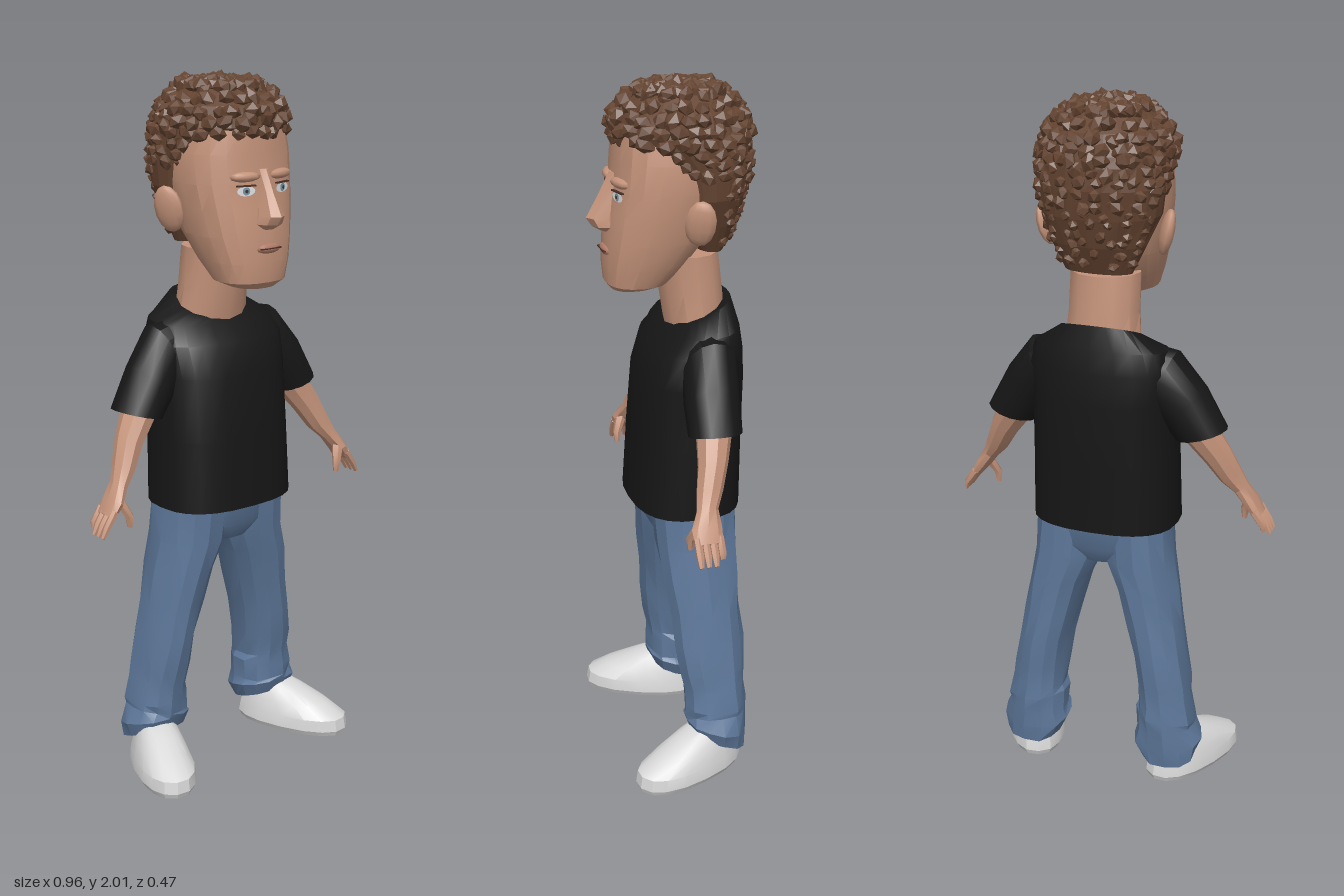
import * as THREE from 'three';
import { mergeGeometries, toCreasedNormals } from 'three/addons/utils/BufferGeometryUtils.js';

const material = (name, color) => {
  const m = new THREE.MeshStandardMaterial({ color });
  m.name = name;
  return m;
};

// Small seeded generator for cloth folds and hair curls
function seeded(seed) {
  return () => {
    seed = (seed * 16807) % 2147483647;
    return seed / 2147483647;
  };
}

// Skin over rings listed upwards: [x, y, z, rx, rz, tilt about z, forward rise]
function loft(rings, { n = 14, p = 2, crease = 0.6, fold = 0, side = 1 } = {}) {
  const rand = seeded(77);
  const power = (v) => Math.sign(v) * Math.abs(v) ** (2 / p);
  const points = rings.map(([x, y, z, rx, rz, tilt = 0, rise = 0]) =>
    Array.from({ length: n }, (_, j) => {
      const a = (j / n) * Math.PI * 2;
      const k = 1 + (rand() - 0.5) * fold;
      const u = power(Math.cos(a)) * rx * k;
      const v = power(Math.sin(a)) * rz * k;
      return [side * (x + u * Math.cos(tilt)), y + u * Math.sin(tilt) + v * rise, z + v];
    }));
  const out = [];
  const tri = (a, b, c) => (side > 0 ? out.push(...a, ...b, ...c) : out.push(...a, ...c, ...b));
  const centre = (r) => [side * r[0], r[1], r[2]];
  const last = rings.length - 1;
  for (let j = 0; j < n; j++) {
    const k = (j + 1) % n;
    for (let i = 0; i < last; i++) {
      const [a, b] = [points[i], points[i + 1]];
      tri(a[j], b[j], a[k]);
      tri(a[k], b[j], b[k]);
    }
    tri(centre(rings[0]), points[0][j], points[0][k]);
    tri(centre(rings[last]), points[last][k], points[last][j]);
  }
  const g = new THREE.BufferGeometry();
  g.setAttribute('position', new THREE.Float32BufferAttribute(out, 3));
  return toCreasedNormals(g, crease);
}

export function createModel() {
  const model = new THREE.Group();
  model.name = 'standingMan';
  const skin = material('skin', 0xc4937a);
  const hairBrown = material('hair brown', 0x644431);
  const black = material('shirt black', 0x161616);
  const denim = material('denim', 0x5d7799);
  const shoeGrey = material('shoe grey', 0xd8d8d8);
  const eyeWhite = material('eye white', 0xe4e8ea);
  const eyeBlue = material('eye blue', 0x7698ac);
  const lipTone = material('lip', 0xb27c69);
  const lineTone = material('dark line', 0x4a3028);

  const add = (name, geometry, mat, parent = model) => {
    const m = new THREE.Mesh(geometry, mat);
    m.name = name;
    parent.add(m);
    return m;
  };

  // Shirt body
  add('shirt', loft([
    [0, 0.797, -0.03, 0.212, 0.155], [0, 1.0, -0.038, 0.208, 0.15],
    [0, 1.18, -0.048, 0.205, 0.145], [0, 1.27, -0.06, 0.212, 0.127],
    [0, 1.325, -0.078, 0.19, 0.1, 0, -0.1], [0, 1.368, -0.08, 0.112, 0.085, 0, -0.4],
  ], { n: 24, p: 2.6 }), black);

  // Pelvis joining the legs
  add('pelvis', loft([
    [0, 0.68, -0.04, 0.08, 0.085], [0, 0.73, -0.04, 0.17, 0.115], [0, 0.82, -0.04, 0.198, 0.124],
  ], { n: 18, p: 2.5 }), denim);

  // Neck and head
  add('neck', loft([
    [0, 1.32, -0.07, 0.112, 0.085], [0, 1.42, -0.058, 0.102, 0.09], [0, 1.53, -0.045, 0.1, 0.09],
  ], { n: 12 }), skin);
  const head = new THREE.Group();
  head.name = 'head';
  model.add(head);
  add('face', loft([
    [0, 1.437, 0.11, 0.06, 0.06], [0, 1.455, 0.1, 0.1, 0.085], [0, 1.51, 0.075, 0.121, 0.115],
    [0, 1.58, 0.045, 0.142, 0.14], [0, 1.65, 0.025, 0.155, 0.153], [0, 1.72, 0.015, 0.165, 0.149],
    [0, 1.8, 0, 0.165, 0.16], [0, 1.88, -0.01, 0.15, 0.162], [0, 1.94, -0.02, 0.1, 0.1],
  ], { n: 20, p: 2.4, crease: 0.35 }), skin, head);
  add('nose', loft([
    [0, 1.6, 0.17, 0.02, 0.025], [0, 1.615, 0.175, 0.038, 0.045], [0, 1.638, 0.18, 0.034, 0.055],
    [0, 1.7, 0.16, 0.021, 0.04], [0, 1.76, 0.145, 0.024, 0.025],
  ], { n: 8, crease: 0.3 }), skin, head);

  // Mouth
  const lips = add('lips', new THREE.SphereGeometry(1, 10, 6), lipTone, head);
  lips.scale.set(0.042, 0.014, 0.012);
  lips.position.set(0, 1.548, 0.184);
  const mouth = add('mouthLine', new THREE.BoxGeometry(0.07, 0.003, 0.008), lineTone, head);
  mouth.position.set(0, 1.549, 0.193);

  // Hair base, deep at the back and inside the face at the front
  const cap = [
    [0, 1.54, -0.1, 0.095, 0.04], [0, 1.62, -0.1, 0.135, 0.078], [0, 1.7, -0.08, 0.167, 0.122],
    [0, 1.78, -0.075, 0.177, 0.14], [0, 1.84, -0.042, 0.178, 0.172], [0, 1.87, -0.025, 0.173, 0.183],
    [0, 1.925, -0.022, 0.155, 0.165], [0, 1.968, -0.022, 0.095, 0.105],
  ];
  add('hairBase', loft(cap, { n: 24, p: 2.15, fold: 0.03, crease: 0 }), hairBrown, head);

  // Curls scattered in rows over the hair base
  const rand = seeded(4321);
  const curls = [];
  const curl = (x, y, z, r) => {
    const g = new THREE.IcosahedronGeometry(r, 0);
    g.scale(1 + rand() * 0.3, 0.65 + rand() * 0.3, 0.9);
    g.rotateX(rand() * 6).rotateY(rand() * 6).rotateZ(rand() * 6);
    curls.push(g.translate(x, y, z));
  };
  for (let y = 1.575; y < 1.968; y += 0.028) {
    const i = cap.findIndex((r) => r[1] > y);
    const t = (y - cap[i - 1][1]) / (cap[i][1] - cap[i - 1][1]);
    const [, , z, rx, rz] = cap[i].map((v, k) => THREE.MathUtils.lerp(cap[i - 1][k], v, t));
    const full = y > 1.845;
    const count = Math.round((rx + rz) * (full ? 75 : 65));
    for (let j = 0; j < count; j++) {
      const a = ((j + rand() * 0.6) / count) * Math.PI * 2;
      if (!full && Math.sin(a) > (y > 1.76 ? 0.6 : -0.25)) continue;
      const r = full ? 0.027 : y > 1.74 ? 0.024 : 0.018;
      const k = full ? 1 : 0.97;
      curl(Math.cos(a) * rx * k, y + (rand() - 0.5) * 0.015, z + Math.sin(a) * rz * k, r);
    }
  }
  for (let j = 0; j < 34; j++) {
    const a = j * 2.4;
    const r = 0.1 * Math.sqrt(j / 34);
    curl(Math.cos(a) * r, 1.977 - r * 0.08, -0.022 + Math.sin(a) * r * 1.1, 0.027);
  }
  add('hairCurls', mergeGeometries(curls), hairBrown, head);

  for (const side of [1, -1]) {
    const word = side > 0 ? 'left' : 'right';

    // Eye, brow ridge and ear
    const eye = new THREE.Group();
    eye.name = word + 'Eye';
    eye.position.set(side * 0.063, 1.705, 0.163);
    eye.rotation.y = side * 0.25;
    head.add(eye);
    add('eyeWhite', new THREE.CircleGeometry(0.027, 14).scale(1, 0.5, 1), eyeWhite, eye);
    add('iris', new THREE.CircleGeometry(0.011, 12).translate(0, 0, 0.002), eyeBlue, eye);
    add('pupil', new THREE.CircleGeometry(0.005, 8).translate(0, 0, 0.004), lineTone, eye);
    const lid = add('upperLid', new THREE.BoxGeometry(0.056, 0.004, 0.008), lineTone, eye);
    lid.position.y = 0.014;
    const brow = add(word + 'Brow', new THREE.SphereGeometry(1, 8, 6), skin, head);
    brow.scale.set(0.046, 0.014, 0.015);
    brow.position.set(side * 0.062, 1.742, 0.157);
    brow.rotation.y = side * 0.25;
    const ear = add(word + 'Ear', new THREE.SphereGeometry(1, 10, 7), skin, head);
    ear.scale.set(0.02, 0.066, 0.044);
    ear.position.set(side * 0.17, 1.645, -0.035);
    ear.rotation.set(-0.15, side * -0.4, side * -0.25);

    // Sleeve
    add(word + 'Sleeve', loft([
      [0.283, 1.086, -0.045, 0.075, 0.074, 0.27], [0.235, 1.165, -0.05, 0.08, 0.078, 0.75],
      [0.18, 1.235, -0.062, 0.093, 0.08, 1.2], [0.12, 1.25, -0.07, 0.09, 0.075, 1.5],
    ], { side, n: 14 }), black);

    // Arm, fingers and thumb
    const arm = new THREE.Group();
    arm.name = word + 'Arm';
    model.add(arm);
    add('forearm', loft([
      [0.44, 0.838, 0.02, 0.013, 0.04, 0.64], [0.415, 0.875, 0.02, 0.02, 0.043, 0.64],
      [0.387, 0.915, 0.01, 0.023, 0.031, 0.64], [0.36, 0.955, -0.005, 0.034, 0.038, 0.64],
      [0.325, 1.02, -0.025, 0.042, 0.043, 0.6], [0.27, 1.1, -0.045, 0.052, 0.052, 0.5],
    ], { side, n: 9, crease: 0.4 }), skin, arm);
    for (let i = 0; i < 4; i++) {
      const z = -0.012 + i * 0.021;
      const drop = i === 0 ? 0.012 : 0;
      add('finger', loft([
        [0.473 - drop, 0.787 + drop, z, 0.006, 0.007, 0.6],
        [0.458, 0.815, z, 0.01, 0.011, 0.6], [0.43, 0.855, z, 0.012, 0.011, 0.6],
      ], { side, n: 6 }), skin, arm);
    }
    add('thumb', loft([
      [0.385, 0.803, 0.056, 0.007, 0.008], [0.387, 0.835, 0.056, 0.013, 0.013],
      [0.41, 0.885, 0.035, 0.018, 0.018],
    ], { side, n: 6 }), skin, arm);

    // Trouser leg with folds gathering at the cuff
    add(word + 'TrouserLeg', loft([
      [0.213, 0.085, -0.08, 0.085, 0.08, 0, 0.35], [0.208, 0.13, -0.078, 0.103, 0.09, 0, 0.25],
      [0.205, 0.165, -0.078, 0.088, 0.09, 0.15], [0.203, 0.205, -0.078, 0.09, 0.093, -0.15],
      [0.198, 0.25, -0.075, 0.078, 0.088, 0.2], [0.192, 0.31, -0.07, 0.078, 0.095],
      [0.178, 0.4, -0.063, 0.074, 0.103], [0.158, 0.5, -0.058, 0.08, 0.106],
      [0.136, 0.6, -0.05, 0.087, 0.113], [0.108, 0.69, -0.042, 0.1, 0.12],
      [0.1, 0.81, -0.04, 0.098, 0.122],
    ], { side, n: 13, p: 2.2, fold: 0.1, crease: 0.4 }), denim);

    // Shoe, toe turned outwards
    const shoe = add(word + 'Shoe', loft([
      [0, 0, 0, 0.078, 0.174], [0, 0.015, 0, 0.086, 0.18], [0, 0.05, 0, 0.083, 0.174],
      [0, 0.085, -0.025, 0.07, 0.138], [0, 0.118, -0.06, 0.056, 0.095],
      [0, 0.14, -0.08, 0.04, 0.06],
    ], { side, n: 16, p: 2.3, crease: 0.5 }), shoeGrey);
    shoe.position.set(side * 0.255, 0, 0.018);
    shoe.rotation.y = side * 0.4;
  }
  return model;
}
